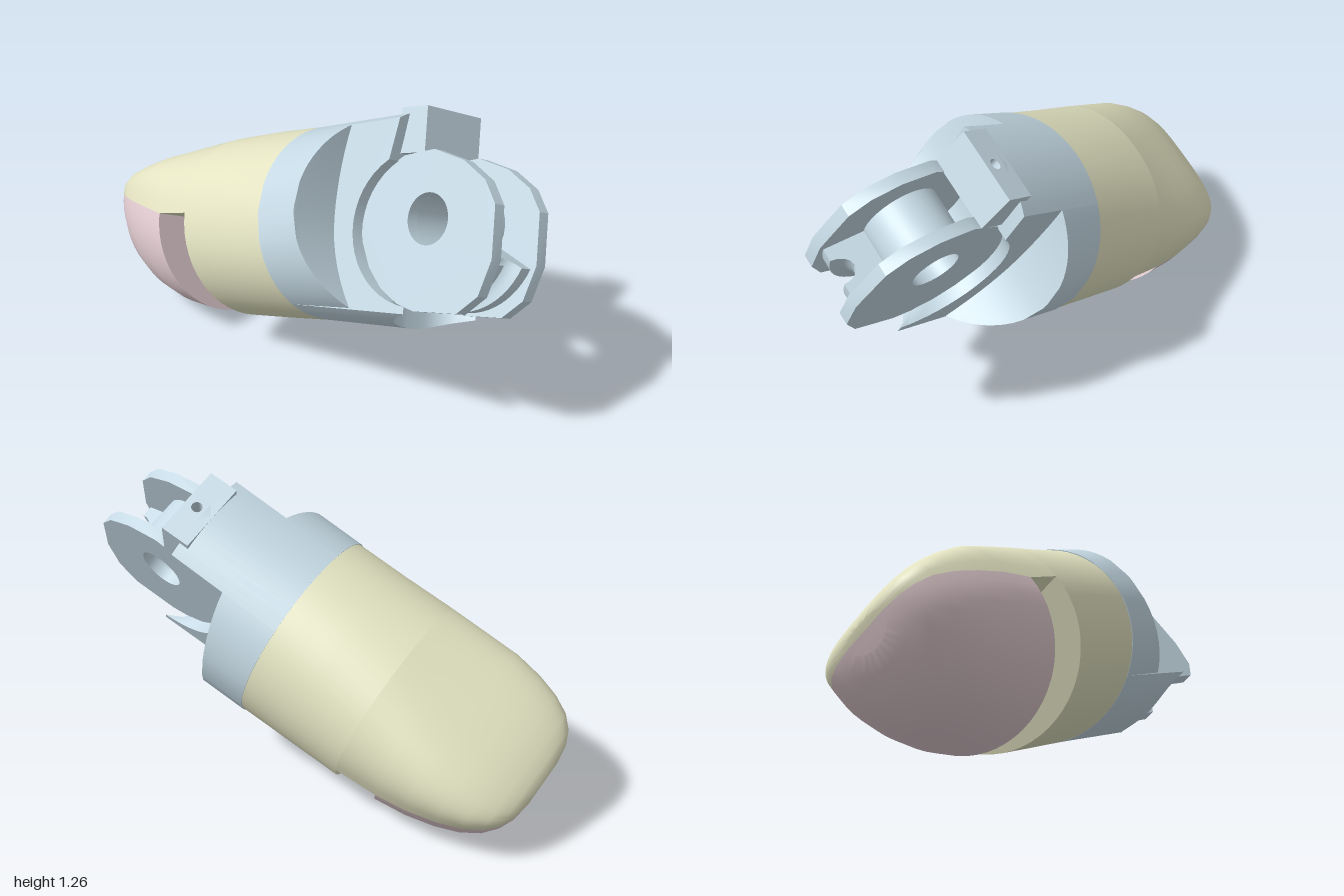
import * as THREE from 'three';
import { mergeGeometries, toCreasedNormals } from 'three/addons/utils/BufferGeometryUtils.js';

const PIN = 0.94;              // hinge pin position along the finger axis (local z)
const A = 0.41, B = 0.382;     // half width and half height at the collar seam
const SEAM = 0.325;
const FLARE = 0.06;            // rise of the collar top toward the hinge

// Closed loft through rings of points; flat(p) gives the 2D cap projection.
function loft(rings, flat, crease = 0.6) {
  const n = rings[0].length, pos = [], idx = [];
  rings.forEach(r => r.forEach(p => pos.push(...p)));
  for (let i = 0; i < rings.length - 1; i++) {
    for (let j = 0; j < n; j++) {
      const k = (j + 1) % n, a = i * n + j, b = i * n + k;
      idx.push(a, b, b + n, a, b + n, a + n);
    }
  }
  const cap = (ring, base, flip) => {
    const faces = THREE.ShapeUtils.triangulateShape(ring.map(p => new THREE.Vector2(...flat(p))), []);
    for (const [a, b, c] of faces) idx.push(base + a, base + (flip ? c : b), base + (flip ? b : c));
  };
  cap(rings[0], 0, true);
  cap(rings[rings.length - 1], (rings.length - 1) * n, false);
  const g = new THREE.BufferGeometry();
  g.setAttribute('position', new THREE.Float32BufferAttribute(pos, 3));
  g.setIndex(idx);
  return toCreasedNormals(g, crease);
}

// Fingertip sections: z, half width, top y, bottom y, parting line y, squareness of the top
const TIP = [
  [-0.802, 0.1, 0.145, 0.04, 0.115, 2.6], [-0.79, 0.18, 0.165, -0.03, 0.112, 2.8],
  [-0.765, 0.235, 0.185, -0.11, 0.108, 3], [-0.72, 0.285, 0.208, -0.19, 0.1, 3],
  [-0.65, 0.325, 0.235, -0.26, 0.082, 3], [-0.56, 0.355, 0.26, -0.312, 0.06, 3],
  [-0.44, 0.38, 0.287, -0.352, 0.032, 2.9], [-0.31, 0.391, 0.315, -0.372, 0, 2.6],
  [-0.13, 0.402, 0.355, -0.384, 0, 2.15],
];
const ROOT = [TIP[8], [0.1, 0.404, 0.375, -0.384, 0, 2], [SEAM, A - 0.004, B, -B, 0, 2]];

// Rings from angle t0 to t1 around the finger axis
function tipLoft(sections, t0, t1, steps) {
  const full = t1 - t0 > 6;
  const rings = sections.map(([z, a, top, low, mid, p]) =>
    Array.from({ length: full ? steps : steps + 1 }, (_, i) => {
      const t = t0 + (t1 - t0) * i / steps, c = Math.cos(t), s = Math.sin(t);
      if (s <= 0) return [a * c, mid + s * (mid - low), z];
      return [a * Math.sign(c) * Math.abs(c) ** (2 / p), mid + s ** (2 / p) * (top - mid), z];
    }));
  return loft(rings, q => [q[0], q[1]]);
}

// Slab of the collar between two x positions; outline(h, x) lists [y, z] pairs
function collarSlab(x0, x1, steps, outline) {
  const rings = [];
  for (let i = 0; i <= steps; i++) {
    const x = x0 + (x1 - x0) * i / steps;
    const h = B * Math.sqrt(Math.max(0.0004, 1 - (x / A) ** 2));
    rings.push(outline(h, x).map(([y, z]) => [x, y, z]));
  }
  return loft(rings, p => [p[1], p[2]]);
}

// Side of the collar, scooped in front
function sideOutline(h) {
  const pts = [[-h, SEAM], [h, SEAM]];
  for (let i = 0; i <= 14; i++) {
    const k = 1 - i / 7, y = h * k;
    const z = 0.52 + (y > 0 ? 0.5 : 1) * y * y;
    pts.push([y + Math.max(0, k) * FLARE * (z - SEAM), z]);
  }
  return pts;
}

// Middle of the collar: upper and lower tongues around a round pocket
function pocketOutline(h, x) {
  const front = 0.77 + 0.13 * (x / 0.2) ** 4;
  const pts = [[-h, SEAM], [h, SEAM], [h + FLARE * 0.495, 0.82]];
  for (let i = 0; i <= 18; i++) {
    const f = THREE.MathUtils.degToRad(120 + 143 * i / 18);
    pts.push([-0.035 + 0.285 * Math.sin(f), Math.min(front, PIN + 0.32 * Math.cos(f))]);
  }
  pts.push([-h - 0.01, front]);
  return pts;
}

// Hinge cheek: rounded plate, chamfered at the lower front, with a pin hole
function cheekGeometry(x) {
  const outline = [[0.3, 0.05], [0.3, -0.14], [0.25, -0.267], [0.16, -0.33], [-0.04, -0.33], [-0.12, -0.307],
    [-0.2, -0.26], [-0.27, -0.18], [-0.315, -0.08], [-0.325, 0.01], [-0.3, 0.1], [-0.23, 0.18],
    [-0.13, 0.232], [0.01, 0.25], [0.15, 0.205], [0.25, 0.135]];
  const s = new THREE.Shape(outline.map(([z, y]) => new THREE.Vector2(-z, y)));
  s.holes.push(new THREE.Path().absarc(0, 0, 0.095, 0, Math.PI * 2, true));
  const g = new THREE.ExtrudeGeometry(s, { depth: 0.05, bevelEnabled: false, curveSegments: 18 });
  return toCreasedNormals(g.rotateY(Math.PI / 2).translate(x, 0, PIN), 0.45);
}

// Block with a small vertical cord hole
function blockGeometry() {
  const s = new THREE.Shape([[-0.15, -0.905], [0.15, -0.905], [0.15, -0.78], [-0.15, -0.78]]
    .map(p => new THREE.Vector2(...p)));
  s.holes.push(new THREE.Path().absarc(0, -0.855, 0.022, 0, Math.PI * 2, true));
  const g = new THREE.ExtrudeGeometry(s, { depth: 0.17, bevelEnabled: false, curveSegments: 8 });
  return toCreasedNormals(g.rotateX(-Math.PI / 2).translate(0, 0.24, 0), 0.5);
}

// Drum around the pin hole
function drumGeometry() {
  const p = [[0.095, -0.1], [0.15, -0.1], [0.15, 0.1], [0.095, 0.1], [0.095, -0.1]];
  const g = new THREE.LatheGeometry(p.map(q => new THREE.Vector2(...q)), 32);
  return toCreasedNormals(g.rotateZ(-Math.PI / 2).translate(0, 0, PIN), 0.5);
}

// Partial ring with a cord groove, below the front of the drum
function grooveGeometry() {
  const p = [[0.12, -0.101], [0.31, -0.101], [0.31, -0.05]];
  for (let i = 1; i < 8; i++) {
    const t = Math.PI * i / 8;
    p.push([0.31 - 0.07 * Math.sin(t), -0.05 * Math.cos(t)]);
  }
  p.push([0.31, 0.05], [0.31, 0.101], [0.12, 0.101]);
  const v = p.map(q => new THREE.Vector2(...q));
  const start = 0.48, len = 1.35;
  const parts = [new THREE.LatheGeometry([...v, v[0].clone()], 14, start, len)];
  for (const f of [start, start + len]) {
    parts.push(new THREE.ShapeGeometry(new THREE.Shape(v)).rotateY(f - Math.PI / 2));
  }
  const g = mergeGeometries(parts).rotateZ(-Math.PI / 2).translate(0, -0.01, PIN);
  return toCreasedNormals(g, 0.5);
}

export function createModel() {
  const shellBlue = new THREE.MeshStandardMaterial({ color: 0xc5d9e4, side: THREE.DoubleSide });
  shellBlue.name = 'paleBlue';
  const cream = new THREE.MeshStandardMaterial({ color: 0xe4e4c3 });
  cream.name = 'cream';
  const pink = new THREE.MeshStandardMaterial({ color: 0xe3cdd2 });
  pink.name = 'palePink';

  const finger = new THREE.Group();
  finger.name = 'fingertip';
  const add = (name, geometry, material) => {
    const m = new THREE.Mesh(geometry, material);
    m.name = name;
    finger.add(m);
  };

  // Body, with the lower half cut away toward the tip
  add('bodyRoot', tipLoft(ROOT, 0, Math.PI * 2, 56), cream);
  add('bodyTip', tipLoft(TIP, 0, Math.PI, 28), cream);
  // Soft pad under the tip, separated from the body by a gap
  add('pad', tipLoft(TIP.slice(0, 8), Math.PI, Math.PI * 2, 28), pink);

  // Collar
  add('collarMiddle', collarSlab(-0.2, 0.2, 12, pocketOutline), shellBlue);
  add('collarLeft', collarSlab(0.2, A, 14, sideOutline), shellBlue);
  add('collarRight', collarSlab(-A, -0.2, 14, sideOutline), shellBlue);
  add('cordBlock', blockGeometry(), shellBlue);

  // Hinge
  add('hingeCheekLeft', cheekGeometry(0.1), shellBlue);
  add('hingeCheekRight', cheekGeometry(-0.15), shellBlue);
  add('hingeDrum', drumGeometry(), shellBlue);
  add('cordGroove', grooveGeometry(), shellBlue);

  // Tilt the finger down toward the back and roll it about its own axis
  finger.rotation.set(THREE.MathUtils.degToRad(-23), 0, THREE.MathUtils.degToRad(-30));
  finger.position.set(0, 0.515, -0.218);

  const model = new THREE.Group();
  model.name = 'fingertipModel';
  model.add(finger);
  return model;
}
